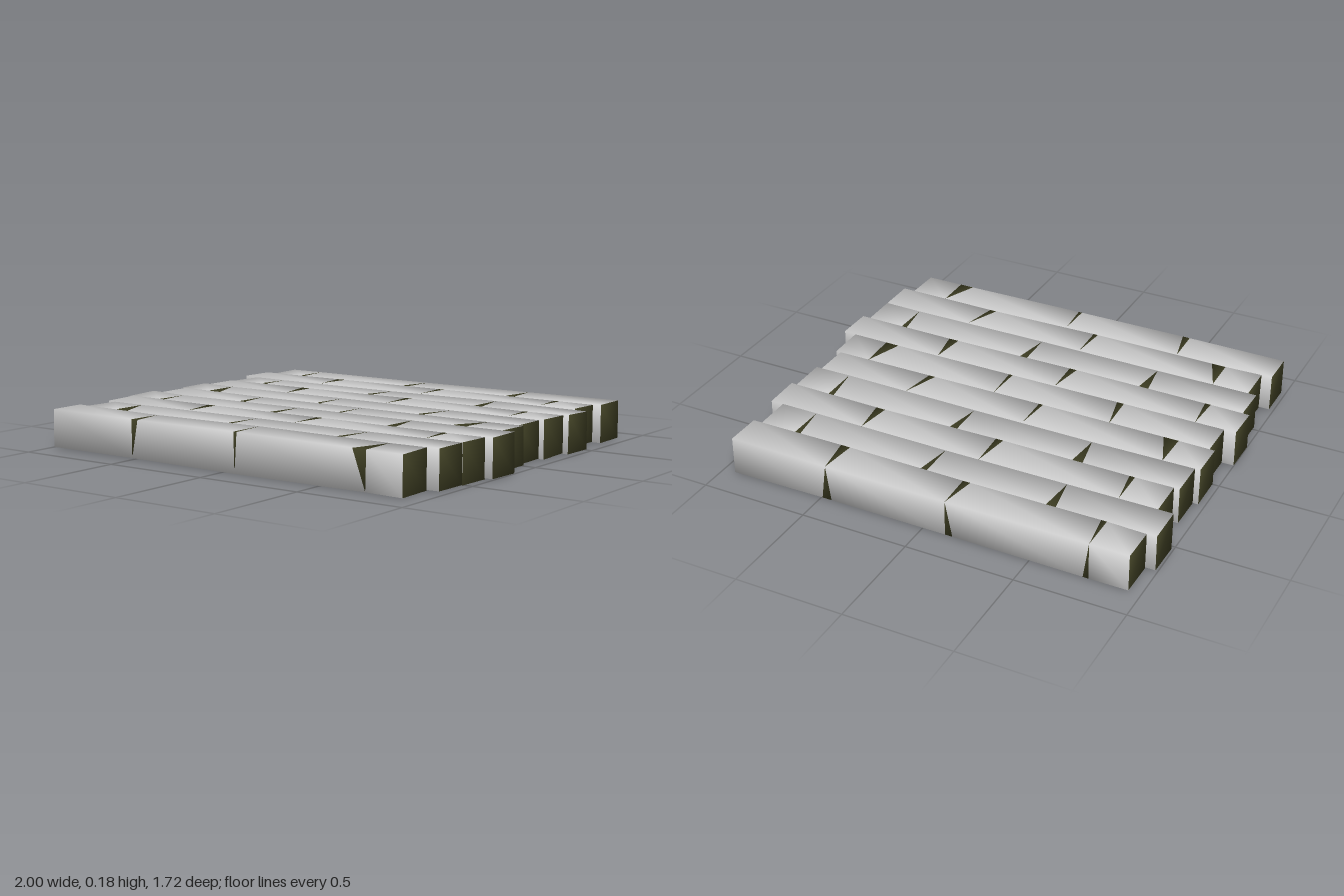
import * as THREE from 'three';

// Each log: z centre, left end, right end, which top edge holds the wide side of
// the dark joint wedges, and joints as [wide start, wide end, narrow point].
const LOGS = [
  [-0.775, -0.945, 0.94, 'front', [[-0.77, -0.745, -0.768], [-0.145, -0.11, -0.113], [0.445, 0.49, 0.465]]],
  [-0.603, -0.99, 0.9, 'back', [[-0.54, -0.495, -0.512], [0.065, 0.095, 0.068], [0.7, 0.727, 0.723]]],
  [-0.43, -0.92, 0.965, 'front', [[-0.745, -0.72, -0.743], [-0.12, -0.085, -0.09], [0.47, 0.515, 0.49]]],
  [-0.257, -0.945, 0.94, 'back', [[-0.5, -0.452, -0.467], [0.105, 0.14, 0.109], [0.742, 0.768, 0.765]]],
  [-0.086, -0.97, 0.917, 'front', [[-0.8, -0.73, -0.797], [-0.145, -0.125, -0.127], [0.407, 0.438, 0.467]]],
  [0.086, -0.945, 0.94, 'front', [[-0.465, -0.432, -0.47], [0.095, 0.113, 0.105], [0.7, 0.767, 0.765]]],
  [0.26, -1, 1, 'front', [[-0.815, -0.788, -0.806], [-0.15, -0.115, -0.12], [0.472, 0.52, 0.49]]],
  [0.432, -0.97, 0.962, 'back', [[-0.51, -0.465, -0.485], [0.107, 0.142, 0.111], [0.757, 0.784, 0.78]]],
  [0.604, -0.93, 0.962, 'front', [[-0.755, -0.688, -0.757], [-0.102, -0.08, -0.083], [0.445, 0.478, 0.51]]],
  [0.775, -0.98, 0.906, 'front', [[-0.505, -0.47, -0.508], [0.06, 0.077, 0.065], [0.665, 0.732, 0.73]]],
];

// Section corners: top front, bottom front, bottom back, top back
const CORNERS = [[0.177, 0.085], [0.005, 0.085], [0.005, -0.085], [0.177, -0.085]];

// Small seeded wobble
let seed = 7;
const wobble = (amount) => {
  seed = (seed * 16807) % 2147483647;
  return (seed / 2147483647 - 0.5) * 2 * amount;
};

function makeLog([zc, left, right, wideEdge, joints], materials) {
  const positions = [], bark = [], cut = [];
  const wide = (k) => (k % 2 === 0) === (wideEdge === 'front');

  // One vertex on corner k at distance x along the log
  const addVertex = (k, x, dy, dz) => {
    positions.push(x, CORNERS[k][0] + dy, zc + CORNERS[k][1] + dz);
    return positions.length / 3 - 1;
  };
  const tri = (list, a, b, c) => {
    if (a !== b && b !== c && a !== c) list.push(a, b, c);
  };
  // Skin between two rings of corners
  const bridge = (list, a, b) => {
    for (let k = 0; k < 4; k++) {
      const n = (k + 1) % 4;
      tri(list, a[k], a[n], b[n]);
      tri(list, a[k], b[n], b[k]);
    }
  };
  const endRing = (x) => CORNERS.map((c, k) => addVertex(k, x, wobble(0.003), wobble(0.003)));

  const first = endRing(left);
  let previous = first;
  for (const [start, end, point] of joints) {
    // Wide corners get two vertices, narrow corners share a single one
    const a = [], b = [];
    for (let k = 0; k < 4; k++) {
      const dy = wobble(0.003), dz = wobble(0.003);
      a[k] = addVertex(k, wide(k) ? start : point, dy, dz);
      b[k] = wide(k) ? addVertex(k, end, dy, dz) : a[k];
    }
    bridge(bark, previous, a);
    bridge(cut, a, b);
    previous = b;
  }
  const last = endRing(right);
  bridge(bark, previous, last);

  // Cut ends
  tri(cut, last[0], last[1], last[2]);
  tri(cut, last[0], last[2], last[3]);
  tri(cut, first[2], first[1], first[0]);
  tri(cut, first[3], first[2], first[0]);

  // Shared smooth normals for bark and cuts
  const whole = new THREE.BufferGeometry();
  whole.setAttribute('position', new THREE.Float32BufferAttribute(positions, 3));
  whole.setIndex([...bark, ...cut]);
  whole.computeVertexNormals();

  const log = new THREE.Group();
  log.name = 'log';
  for (const [name, index, material] of [['bark', bark, materials.bark], ['jointsAndEnds', cut, materials.cut]]) {
    const geometry = new THREE.BufferGeometry();
    geometry.setAttribute('position', whole.getAttribute('position'));
    geometry.setAttribute('normal', whole.getAttribute('normal'));
    geometry.setIndex(index);
    const mesh = new THREE.Mesh(geometry, material);
    mesh.name = name;
    log.add(mesh);
  }
  return log;
}

export function createModel() {
  seed = 7;
  const materials = {
    bark: new THREE.MeshStandardMaterial({ color: 0xcccccc }),
    cut: new THREE.MeshStandardMaterial({ color: 0x3c3c22 }),
  };
  const raft = new THREE.Group();
  raft.name = 'logRaft';
  for (const spec of LOGS) raft.add(makeLog(spec, materials));
  return raft;
}
